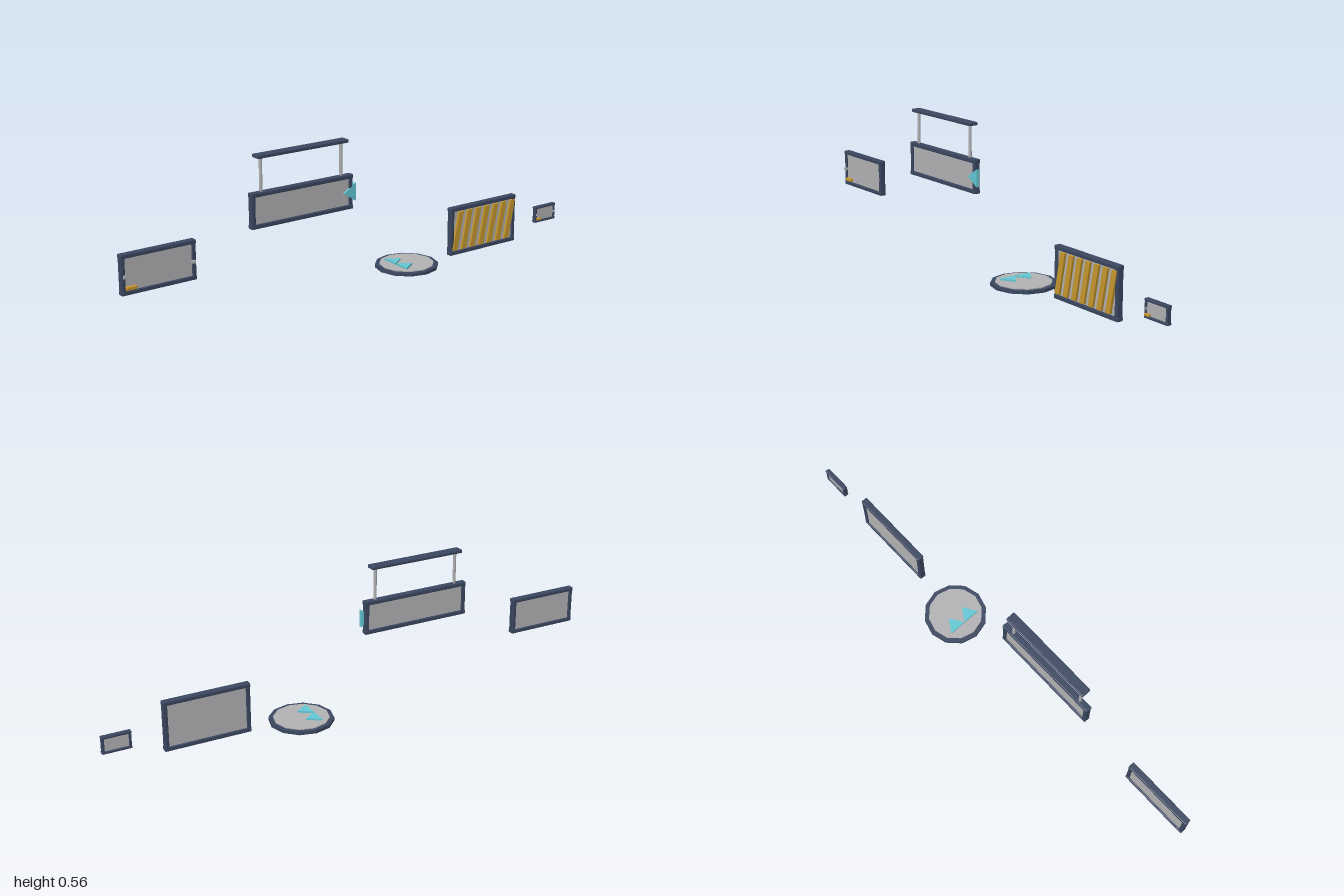
import * as THREE from 'three';
import { RoundedBoxGeometry } from 'three/addons/geometries/RoundedBoxGeometry.js';

const material = (name, color) => {
  const m = new THREE.MeshStandardMaterial({ color });
  m.name = name;
  return m;
};

export function createModel() {
  const model = new THREE.Group();
  model.name = 'signSet';
  const navy = material('navy frame', 0x3b4760);
  const grey = material('grey panel', 0xb2b2b4);
  const gold = material('gold marking', 0xc6972e);
  const cyan = material('cyan arrow', 0x62c8d4);

  const group = (name) => {
    const g = new THREE.Group();
    g.name = name;
    model.add(g);
    return g;
  };
  const add = (parent, name, geometry, mat, x = 0, y = 0, z = 0) => {
    const mesh = new THREE.Mesh(geometry, mat);
    mesh.name = name;
    mesh.position.set(x, y, z);
    parent.add(mesh);
    return mesh;
  };
  // Box given by its limits on each axis, with optional chamfered edges
  const box = (parent, name, mat, [x0, x1], [y0, y1], [z0, z1], bevel = 0) => {
    const s = [x1 - x0, y1 - y0, z1 - z0];
    const geo = bevel ? new RoundedBoxGeometry(...s, 1, bevel) : new THREE.BoxGeometry(...s);
    if (bevel) geo.computeVertexNormals();
    return add(parent, name, geo, mat, (x0 + x1) / 2, (y0 + y1) / 2, (z0 + z1) / 2);
  };
  // Flat outline extruded along z
  const plate = (points, depth) => new THREE.ExtrudeGeometry(
    new THREE.Shape(points.map(([x, y]) => new THREE.Vector2(x, y))),
    { depth, bevelEnabled: false });

  // Recessed panel with two rails and two stiles
  const framed = (name, [x0, x1], [y0, y1], rail, [z0, z1]) => {
    const g = group(name);
    const b = 0.003;
    const inset = 0.001;
    const d = z1 - z0;
    box(g, 'panel', grey, [x0 + rail / 2, x1 - rail / 2], [y0 + rail / 2, y1 - rail / 2],
      [z0 + d * 0.25, z1 - d * 0.25]);
    box(g, 'bottomRail', navy, [x0, x1], [y0, y0 + rail], [z0, z1], b);
    box(g, 'topRail', navy, [x0, x1], [y1 - rail, y1], [z0, z1], b);
    for (const [side, a] of [['rightStile', x0 + inset], ['leftStile', x1 - rail - inset]]) {
      box(g, side, navy, [a, a + rail], [y0 + rail - b, y1 - rail + b], [z0 + inset, z1 - inset], b);
    }
    return g;
  };

  // Wall sign with side bolts and a small gold tag
  const wall = framed('wallSign', [-1, -0.712], [0.155, 0.3], 0.015, [-0.002, 0.024]);
  for (const x of [-0.988, -0.724]) {
    box(wall, 'bolt', grey, [x - 0.005, x + 0.005], [0.217, 0.228], [0.018, 0.031]);
  }
  box(wall, 'goldTag', gold, [-0.985, -0.945], [0.173, 0.186], [0.015, 0.03], 0.002);

  // Hanging sign with rods, ceiling bar and arrow
  const hanging = framed('hangingSign', [-0.485, -0.045], [0.288, 0.42], 0.016, [-0.002, 0.024]);
  box(hanging, 'ceilingBar', navy, [-0.46, -0.07], [0.543, 0.556], [-0.008, 0.03], 0.003);
  for (const x of [-0.438, -0.092]) {
    add(hanging, 'rod', new THREE.CylinderGeometry(0.006, 0.006, 0.13, 8), grey, x, 0.482, 0.011);
  }
  add(hanging, 'sideArrow', plate([[-0.088, 0.351], [-0.034, 0.317], [-0.034, 0.385]], 0.012),
    cyan, 0, 0, 0.012);

  // Round floor marker with two arrowheads
  const floor = group('floorMarker');
  const cx = 0.227;
  add(floor, 'base', new THREE.CylinderGeometry(0.123, 0.123, 0.012, 12).toNonIndexed(), navy, cx, 0.006, 0)
    .geometry.computeVertexNormals();
  add(floor, 'disc', new THREE.CylinderGeometry(0.106, 0.106, 0.008, 12), grey, cx, 0.0115, 0);
  for (const z of [-0.035, 0.035]) {
    const arrow = add(floor, 'floorArrow', plate([[0, -0.034], [0.052, 0], [0, 0.034]], 0.008),
      cyan, 0.174, 0.014, z);
    arrow.rotation.x = -Math.PI / 2;
  }

  // Striped barrier panel
  const barrier = framed('stripedSign', [0.43, 0.768], [0.004, 0.199], 0.016, [-0.002, 0.024]);
  for (let i = 0; i < 7; i++) {
    const x = 0.6 + (i - 3) * 0.045;
    const w = 0.012;
    const lean = 0.015;
    add(barrier, 'stripe', plate([[x - w - lean, 0.024], [x + w - lean, 0.024],
      [x + w + lean, 0.18], [x - w + lean, 0.18]], 0.009), gold, 0, 0, 0.018);
  }

  // Small plaque
  const plaque = framed('smallPlaque', [0.888, 1], [0.052, 0.12], 0.01, [-0.002, 0.017]);
  for (const x of [0.896, 0.992]) {
    box(plaque, 'bolt', grey, [x - 0.003, x + 0.003], [0.083, 0.089], [0.012, 0.021]);
  }
  box(plaque, 'goldTag', gold, [0.895, 0.918], [0.062, 0.071], [0.01, 0.023], 0.002);

  return model;
}
